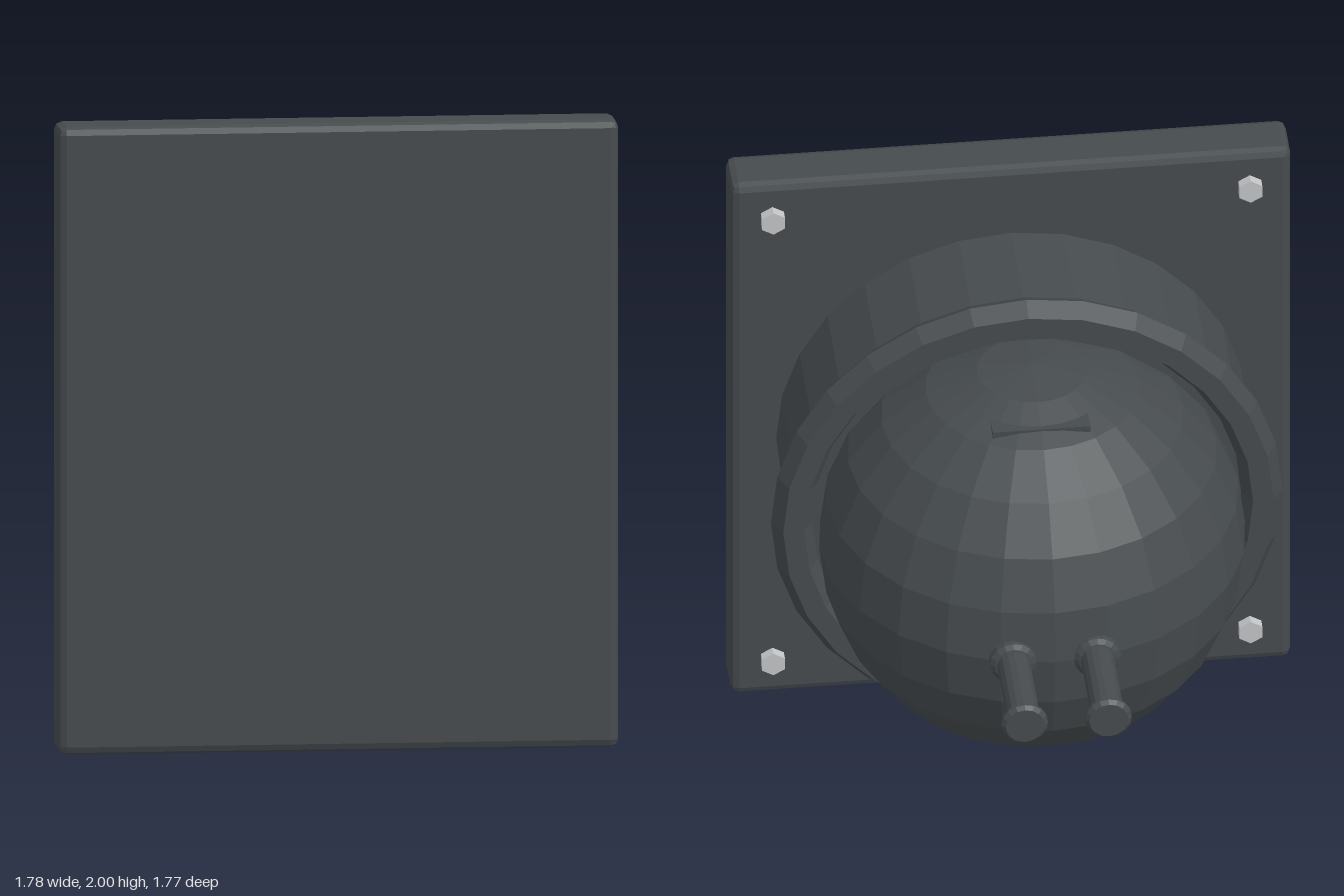
import * as THREE from 'three';
import { RoundedBoxGeometry } from 'three/addons/geometries/RoundedBoxGeometry.js';

// Faceted normals for the low-poly look
function faceted(geometry) {
  const g = geometry.index ? geometry.toNonIndexed() : geometry;
  g.computeVertexNormals();
  return g;
}

export function createModel() {
  const model = new THREE.Group();
  model.name = 'wallMountedDome';

  const darkMetal = new THREE.MeshStandardMaterial({ color: 0x464b4e });
  darkMetal.name = 'dark metal';
  const boltSteel = new THREE.MeshStandardMaterial({ color: 0xc2c4c6 });
  boltSteel.name = 'bolt steel';

  const add = (name, geometry, material, x, y, z) => {
    const mesh = new THREE.Mesh(faceted(geometry), material);
    mesh.name = name;
    mesh.position.set(x, y, z);
    model.add(mesh);
    return mesh;
  };

  // Mounting plate with chamfered edges
  add('mountingPlate', new RoundedBoxGeometry(1.776, 2, 0.175, 1, 0.026), darkMetal, 0, 1, 0.7975);

  // Round housing and the hexagonal-section ring at its mouth
  const housing = new THREE.CylinderGeometry(0.745, 0.745, 0.45, 28).rotateX(Math.PI / 2);
  add('housing', housing, darkMetal, 0, 1.003, 0.49);
  add('rimRing', new THREE.TorusGeometry(0.745, 0.066, 6, 28), darkMetal, 0, 1.003, 0.267);

  // Ball, with a small block just breaking its upper surface
  add('ball', new THREE.SphereGeometry(0.675, 24, 12), darkMetal, 0, 1.003, 0.113);
  add('topBlock', new THREE.BoxGeometry(0.31, 0.1, 0.2), darkMetal, 0, 1.571, -0.06);

  // Twin pegs: collar, shaft and flared end turned as one profile
  const pegProfile = [
    [0, 0], [0.06, 0], [0.075, 0.012], [0.075, 0.035], [0.06, 0.046], [0.053, 0.048],
    [0.053, 0.333], [0.066, 0.338], [0.074, 0.347], [0.074, 0.356], [0.062, 0.368], [0, 0.368],
  ].map(([r, h]) => new THREE.Vector2(r, h));
  for (const side of [-1, 1]) {
    const peg = new THREE.LatheGeometry(pegProfile, 16).rotateX(-Math.PI / 2);
    add(side > 0 ? 'leftPeg' : 'rightPeg', peg, darkMetal, side * 0.133, 1.003, -0.517);
  }

  // Hex bolts in the plate corners
  for (const x of [-0.757, 0.757]) {
    for (const y of [0.135, 1.87]) {
      const bolt = new THREE.CylinderGeometry(0.042, 0.042, 0.05, 6).rotateX(Math.PI / 2);
      add('cornerBolt', bolt, boltSteel, x, y, 0.702);
    }
  }

  return model;
}
